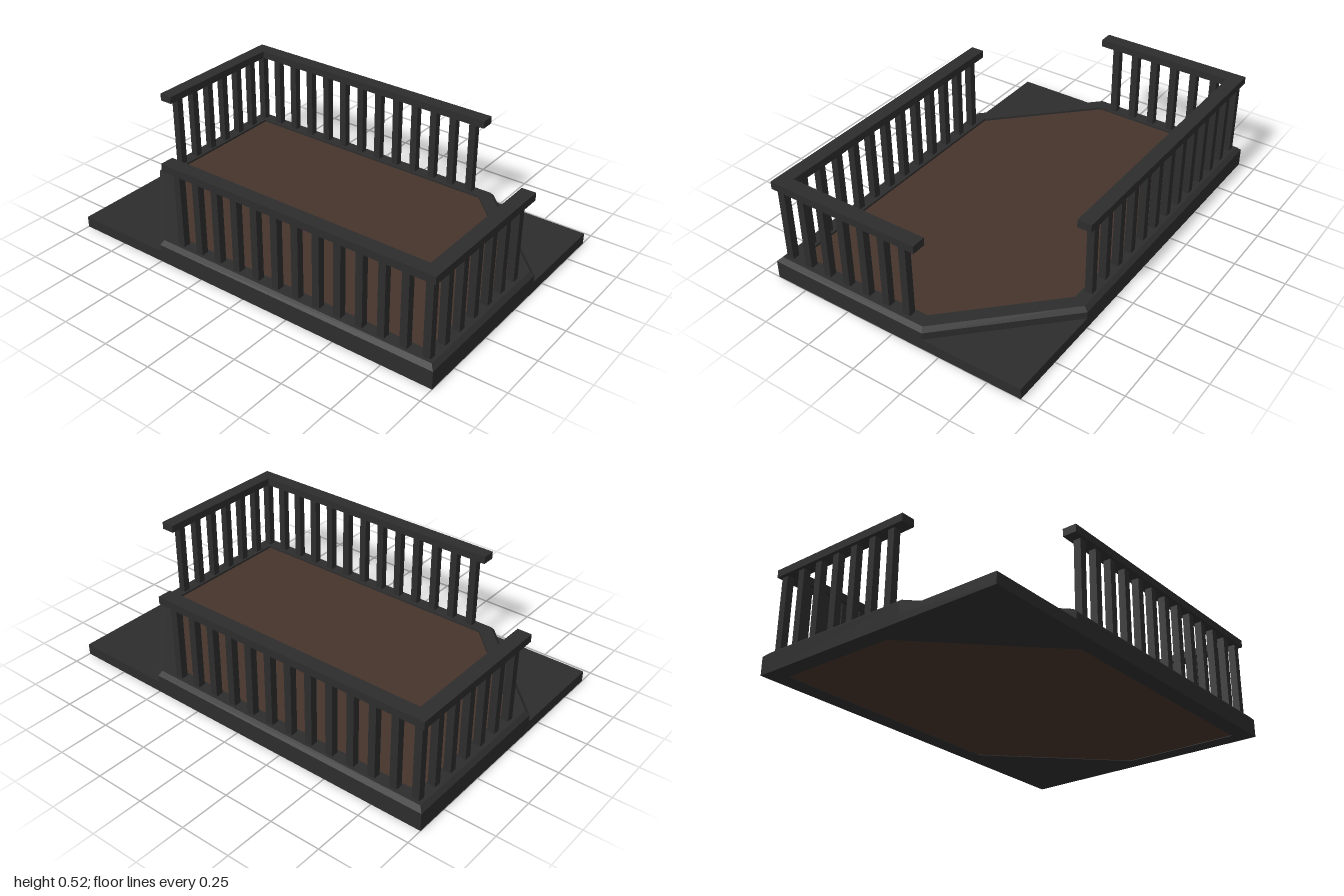
import * as THREE from 'three';

const dark = new THREE.MeshStandardMaterial({ color: 0x2d2d2d });
dark.name = 'dark metal';
const brown = new THREE.MeshStandardMaterial({ color: 0x46342c });
brown.name = 'brown floor';

const HALF_X = 1, HALF_Z = 0.665, CUT = 1.165;

// Rectangle with two opposite corners cut off, moved inwards by inset; [x, z] pairs
function deckOutline(inset) {
  const x = HALF_X - inset, z = HALF_Z - inset, s = CUT - inset * Math.SQRT2;
  return [[-x, -z], [s - z, -z], [x, x - s], [x, z], [z - s, z], [-x, s - x]];
}

function mesh(name, geometry, material) {
  const m = new THREE.Mesh(geometry, material);
  m.name = name;
  return m;
}

// Upright slab from a plan outline
function slab(name, outline, y0, y1, material) {
  const shape = new THREE.Shape(outline.map(([x, z]) => new THREE.Vector2(x, -z)));
  const geo = new THREE.ExtrudeGeometry(shape, { depth: y1 - y0, bevelEnabled: false });
  geo.rotateX(-Math.PI / 2).translate(0, y0, 0);
  return mesh(name, geo, material);
}

function box(name, x0, x1, y0, y1, z0, z1) {
  const geo = new THREE.BoxGeometry(x1 - x0, y1 - y0, z1 - z0);
  geo.translate((x0 + x1) / 2, (y0 + y1) / 2, (z0 + z1) / 2);
  return mesh(name, geo, dark);
}

// Bevelled curb running all round the deck: [inset, height] section, closed
function curb() {
  const section = [[0, 0], [0, 0.09], [0.02, 0.11], [0.085, 0.11], [0.085, 0]];
  const rings = section.map(([inset, y]) => deckOutline(inset).map(([x, z]) => [x, y, z]));
  const pos = [];
  rings.forEach((ring, i) => {
    const next = rings[(i + 1) % rings.length];
    ring.forEach((a, j) => {
      const k = (j + 1) % ring.length;
      pos.push(...a, ...next[j], ...ring[k], ...ring[k], ...next[j], ...next[k]);
    });
  });
  const geo = new THREE.BufferGeometry();
  geo.setAttribute('position', new THREE.Float32BufferAttribute(pos, 3));
  geo.computeVertexNormals();
  return mesh('curb', geo, dark);
}

// L-shaped railing along the front and the left side, plus one low corner plate
function railingHalf() {
  const half = new THREE.Group();
  half.add(box('frontTopRail', -0.465, 0.98, 0.487, 0.525, 0.578, 0.647));
  half.add(box('sideTopRail', 0.911, 0.98, 0.487, 0.525, -0.135, 0.578));

  const step = 0.1115, w = 0.018, cx = 0.945, cz = 0.613;
  const post = (x, z) => half.add(box('baluster', x - w, x + w, 0.1, 0.49, z - w, z + w));
  for (let i = 0; i < 13; i++) post(cx - i * step, cz);
  for (let i = 1; i < 7; i++) post(cx, cz - i * step);

  const leg = 0.735;
  half.add(slab('cornerPlate', [
    [-HALF_X, HALF_Z], [-HALF_X, HALF_Z - leg], [-HALF_X + leg, HALF_Z],
  ], 0, 0.055, dark));
  return half;
}

export function createModel() {
  const model = new THREE.Group();
  model.name = 'balcony';
  model.add(slab('floor', deckOutline(0.085), 0.003, 0.1, brown));
  model.add(curb());
  const front = railingHalf();
  front.name = 'frontRailing';
  const back = railingHalf();
  back.name = 'backRailing';
  back.rotation.y = Math.PI;
  model.add(front, back);
  return model;
}
